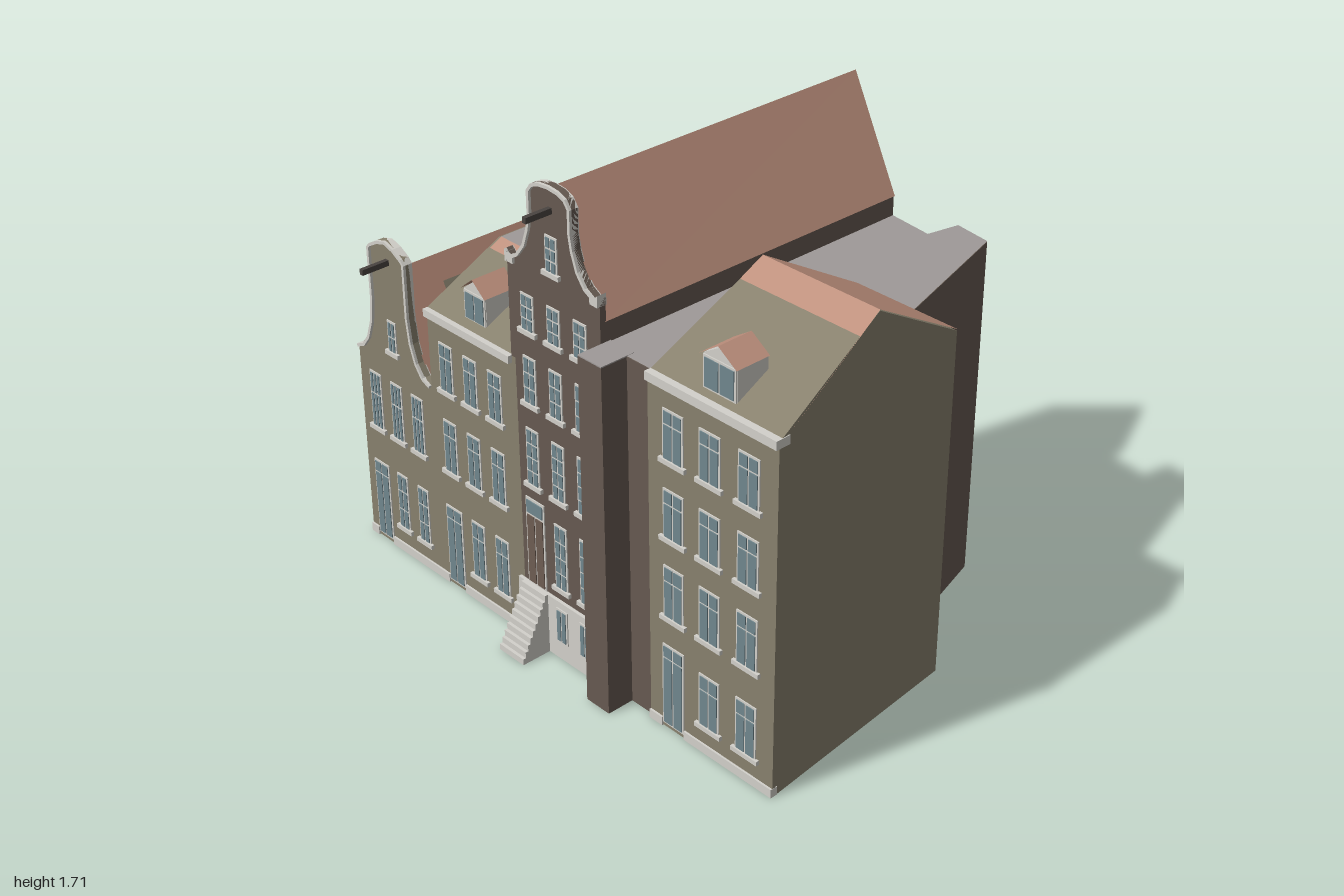
import * as THREE from 'three';
import { ConvexGeometry } from 'three/addons/geometries/ConvexGeometry.js';

const V = (p) => new THREE.Vector3(...p);
const FRONT = 0.62;

export function createModel() {
  const root = new THREE.Group();
  root.name = 'canalHouses';
  const mat = (name, color, double) => {
    const m = new THREE.MeshStandardMaterial({ color });
    m.name = name;
    if (double) m.side = THREE.DoubleSide;
    return m;
  };
  const olive = mat('oliveBrick', 0x88816e);
  const dark = mat('darkBrick', 0x665a51);
  const tile = mat('roofTile', 0xbf917e, true);
  const grey = mat('flatRoofGrey', 0x9f9a98, true);
  const trim = mat('paleTrim', 0xd3d1cb);
  const glass = mat('windowGlass', 0x70878e);
  const wood = mat('doorWood', 0x6e5d52);
  const iron = mat('beamDark', 0x4a4441);

  const add = (geo, m, name, parent = root) => {
    const mesh = new THREE.Mesh(geo, m);
    mesh.name = name;
    parent.add(mesh);
    return mesh;
  };
  const box = (x0, x1, y0, y1, z0, z1, m, name, parent) => {
    const g = new THREE.BoxGeometry(x1 - x0, y1 - y0, z1 - z0);
    g.translate((x0 + x1) / 2, (y0 + y1) / 2, (z0 + z1) / 2);
    return add(g, m, name, parent);
  };
  const hull = (pts, m, name, parent) => add(new ConvexGeometry(pts.map(V)), m, name, parent);
  // Flat panel through four corners, in order
  const panel = (pts, m, name, parent) => {
    const g = new THREE.BufferGeometry();
    g.setAttribute('position', new THREE.Float32BufferAttribute(pts.flat(), 3));
    g.setIndex([0, 1, 2, 0, 2, 3]);
    const flat = g.toNonIndexed();
    flat.computeVertexNormals();
    return add(flat, m, name, parent);
  };
  const shapeOf = (pts) => new THREE.Shape(pts.map(([x, y]) => new THREE.Vector2(x, y)));
  const extrude = (pts, z0, z1, m, name, parent) => {
    const g = new THREE.ExtrudeGeometry(shapeOf(pts), { depth: z1 - z0, bevelEnabled: false });
    g.translate(0, 0, z0);
    return add(g, m, name, parent);
  };

  // Window or door: pale frame with a grid of panes (cols, row height fractions from the bottom)
  const opening = (x, y0, y1, w, cols, rows, o = {}) => {
    const g = new THREE.Group();
    g.name = o.name || 'window';
    const s = o.back ? -1 : 1, b = o.border ?? 0.007;
    const plate = (xa, xb, ya, yb, d0, d1, m, n) =>
      box(xa, xb, ya, yb, Math.min(s * d0, s * d1), Math.max(s * d0, s * d1), m, n, g);
    plate(x - w / 2, x + w / 2, y0, y1, -0.004, 0.004, trim, 'frame');
    if (o.sill !== false) plate(x - w / 2 - 0.012, x + w / 2 + 0.012, y0 - 0.01, y0 + 0.006, -0.004, 0.012, trim, 'sill');
    const pw = (w - b) / cols;
    let y = y0 + b;
    rows.forEach((f, r) => {
      const h = f * (y1 - y0 - b);
      for (let c = 0; c < cols; c++) {
        const xa = x - w / 2 + b + c * pw;
        plate(xa, xa + pw - b, y, y + h - b, 0.003, 0.007, o.wood && r === 0 ? wood : glass, 'pane');
      }
      y += h;
    });
    g.position.z = o.z ?? FRONT;
    g.rotation.y = o.turn || 0;
    root.add(g);
  };
  const transom = [0.72, 0.28];

  // Gable front: mirrored half profile, with a pale coping ribbon along its edge
  const gableFront = (cx, half, m, name) => {
    const right = half.map(([x, y]) => [cx + x, y]);
    const left = half.slice(0, -1).reverse().map(([x, y]) => [cx - x, y]);
    const edge = [...right, ...left], w = half[0][0];
    extrude([[cx - w, 0], [cx + w, 0], ...edge], 0.597, FRONT, m, name);
    const inner = edge.map(([x, y], i) => {
      const a = edge[Math.max(i - 1, 0)], b = edge[Math.min(i + 1, edge.length - 1)];
      const dx = b[0] - a[0], dy = b[1] - a[1], l = Math.hypot(dx, dy);
      return [x - dy / l * 0.011, y + dx / l * 0.011];
    });
    extrude([...edge, ...inner.reverse()], 0.594, 0.63, trim, name + 'Coping');
  };
  const hoist = (x, y, z1) => box(x - 0.008, x + 0.008, y - 0.01, y + 0.01, 0.58, z1, iron, 'hoistBeam');

  // Dormer with pitched roof
  const dormer = (x, w, y0, y1, top) => {
    const g = new THREE.Group();
    g.name = 'dormer';
    root.add(g);
    const h = w / 2 - 0.006, z0 = 0.46, z1 = 0.582, e = 0.592;
    hull([z0, z1].flatMap((z) => [[x - h, y0, z], [x + h, y0, z], [x - h, y1, z], [x + h, y1, z], [x, top - 0.008, z]]),
      trim, 'dormerBody', g);
    for (const s of [-1, 1])
      panel([[x + s * w / 2, y1, z0], [x + s * w / 2, y1, e], [x, top, e], [x, top, z0]], tile, 'dormerRoof', g);
    opening(x, y0 + 0.004, y1 - 0.002, w - 0.016, 2, [1], { z: z1, sill: false });
  };

  // House A: curved neck gable and long pitched roof
  const aR = 1.1, aE = 0.68;
  hull([[-0.997, 0, 0.6], [-0.6, 0, 0.6], [-0.985, 0, -0.3], [-0.58, 0, -0.29],
    [-0.997, aE, 0.6], [-0.6, aE, 0.6], [-0.985, aE, -0.3], [-0.58, aE, -0.29],
    [-0.8, aR, 0.6], [-0.79, aR, -0.295]], olive, 'neckGableHouseWalls');
  panel([[-0.998, aE, 0.6], [-0.8, aR + 0.004, 0.6], [-0.79, aR + 0.004, -0.298], [-0.988, aE, -0.303]], tile, 'neckGableHouseRoof');
  panel([[-0.598, aE, 0.6], [-0.8, aR + 0.004, 0.6], [-0.79, aR + 0.004, -0.298], [-0.578, aE, -0.293]], tile, 'neckGableHouseRoof');
  gableFront(-0.8, [[0.2, 0], [0.2, 0.76], [0.165, 0.775], [0.135, 0.815], [0.112, 0.88], [0.1, 0.97],
    [0.1, 1.165], [0.085, 1.182], [0.045, 1.205], [0, 1.218]].slice(1), olive, 'neckGable');
  hoist(-0.8, 1.14, 0.725);
  opening(-0.917, 0.015, 0.32, 0.082, 2, [0.85, 0.15], { name: 'door', sill: false });
  for (const x of [-0.8, -0.685]) opening(x, 0.1, 0.32, 0.058, 2, [0.35, 0.35, 0.3]);
  for (const x of [-0.915, -0.8, -0.685]) opening(x, 0.46, 0.68, 0.062, 3, [0.62, 0.38]);
  opening(-0.8, 0.8, 0.92, 0.045, 2, [0.5, 0.5]);
  for (const [y0, y1] of [[0.08, 0.23], [0.48, 0.64]])
    opening(-0.68, y0, y1, 0.095, 1, [1], { back: true, z: -0.292, sill: false, name: 'backWindow' });

  // House B: low house with hipped-off flat top and rear wing
  hull([-0.6, -0.15].flatMap((x) => [[x, 0, FRONT], [x, 1.05, FRONT], [x, 1.05, 0.57], [x, 1.2, 0.31], [x, 1.2, -0.11], [x, 0, -0.11]]),
    olive, 'lowHouseWalls');
  hull([-0.58, -0.4].flatMap((x) => [[x, 0, 0], [x, 1.2, 0], [x, 1.2, -0.02], [x, 1.05, -0.285], [x, 0, -0.285]]),
    olive, 'rearWingWalls');
  panel([[-0.6, 1.053, 0.575], [-0.165, 1.053, 0.575], [-0.165, 1.204, 0.31], [-0.59, 1.204, 0.31]], tile, 'lowHouseRoof');
  panel([[-0.585, 1.204, -0.02], [-0.4, 1.204, -0.02], [-0.4, 1.053, -0.288], [-0.58, 1.053, -0.288]], tile, 'rearWingRoof');
  panel([[-0.59, 1.204, 0.31], [-0.15, 1.204, 0.31], [-0.15, 1.204, -0.02], [-0.59, 1.204, -0.02]], grey, 'flatRoof');
  panel([[-0.4, 1.204, -0.02], [-0.15, 1.204, -0.02], [-0.15, 1.204, -0.113], [-0.4, 1.204, -0.113]], grey, 'flatRoof');
  box(-0.6, -0.168, 1.025, 1.052, 0.575, 0.636, trim, 'cornice');
  dormer(-0.39, 0.12, 1.06, 1.17, 1.22);
  opening(-0.513, 0.015, 0.32, 0.085, 2, [0.85, 0.15], { name: 'door', sill: false });
  for (const x of [-0.51, -0.385, -0.26])
    for (const [y0, y1] of [[0.1, 0.32], [0.46, 0.66], [0.77, 0.95]])
      if (x > -0.5 || y0 > 0.2) opening(x, y0, y1, 0.068, 2, transom);
  for (const y of [0.26, 0.56, 0.95])
    opening(-0.25, y - 0.08, y + 0.08, 0.1, 1, [1], { back: true, z: -0.11, sill: false, name: 'backWindow' });

  // House C: tall dark house with bell gable
  const cR = 1.7, cE = 1.33;
  hull([[-0.165, 0, 0.6], [0.255, 0, 0.6], [-0.13, 0, -0.7], [0.26, 0, -0.65],
    [-0.165, cE, 0.6], [0.255, cE, 0.6], [-0.13, cE, -0.7], [0.26, cE, -0.65],
    [0.043, cR - 0.004, 0.6], [0.045, cR - 0.004, -0.677]], dark, 'bellGableHouseWalls');
  panel([[-0.167, cE, 0.6], [0.043, cR, 0.6], [0.045, cR, -0.68], [-0.132, cE, -0.703]], tile, 'bellGableHouseRoof');
  panel([[0.257, cE, 0.6], [0.043, cR, 0.6], [0.045, cR, -0.68], [0.262, cE, -0.653]], tile, 'bellGableHouseRoof');
  gableFront(0.043, [[0.213, 1.385], [0.213, 1.425], [0.195, 1.408], [0.16, 1.428], [0.128, 1.47], [0.107, 1.53],
    [0.098, 1.58], [0.098, 1.66], [0.078, 1.688], [0.042, 1.702], [0, 1.706]], dark, 'bellGable');
  for (const s of [-1, 1])
    box(0.043 + s * 0.195 - 0.018, 0.043 + s * 0.195 + 0.018, 1.385, 1.405, 0.6, 0.629, trim, 'gableShoulder');
  hoist(0.043, 1.625, 0.72);
  box(-0.168, 0.255, 0, 0.225, 0.6, 0.632, trim, 'basementFront');
  for (const x of [0.05, 0.165]) opening(x, 0.07, 0.2, 0.055, 2, [1], { z: 0.632, sill: false, name: 'basementWindow' });
  for (let i = 0; i < 10; i++)
    box(-0.14, -0.02, i * 0.0225, (i + 1) * 0.0225, 0.62, 0.745 - i * 0.0112, trim, 'step');
  opening(-0.08, 0.225, 0.555, 0.09, 2, [0.82], { name: 'door', wood: true, sill: false });
  box(-0.118, -0.042, 0.5, 0.546, 0.62, 0.628, glass, 'doorTransom');
  const third = [0.34, 0.33, 0.33];
  for (const x of [-0.08, 0.043, 0.165])
    for (const [y0, y1] of [[0.27, 0.515], [0.61, 0.82], [0.91, 1.08], [1.17, 1.3]])
      if (x > 0 || y0 > 0.3) opening(x, y0, y1, 0.06, 2, y0 < 0.8 ? [0.25, 0.25, 0.25, 0.25] : third);
  opening(0.043, 1.415, 1.54, 0.055, 2, third);
  // Rear windows, the second column set at half landings
  const rear = [[-0.05, [0.14, 0.55, 0.93, 1.25]], [0.19, [0.1, 0.33, 0.69, 1.06]]];
  for (const [x, ys] of rear)
    for (const y of ys) {
      const h = y < 0.2 ? 0.055 : 0.08;
      opening(x, y - h, y + h, 0.095, 1, [1],
        { back: true, z: -0.6833, turn: -Math.atan(0.05 / 0.39), sill: false, name: 'backWindow' });
      const g = root.children[root.children.length - 1];
      g.position.x = x - x * Math.cos(g.rotation.y);
      g.position.z = -0.6833 + 0.1282 * x + x * Math.sin(g.rotation.y) - 0.1282 * x;
      g.position.z = -0.6833 + 0.1282 * x - (-x * Math.sin(g.rotation.y));
    }

  // Dark infill block with flat roof
  const plan = [[0.26, 0.61], [0.47, 0.61], [0.52, 0.5], [0.745, -0.21], [0.595, -0.73], [0.455, -0.75], [0.43, -0.63], [0.26, -0.65]]
    .map(([x, z]) => [x, -z]);
  const walls = extrude(plan, 0, 1.258, dark, 'infillWalls');
  walls.geometry.rotateX(-Math.PI / 2);
  const lid = add(new THREE.ShapeGeometry(shapeOf(plan)), grey, 'infillFlatRoof');
  lid.geometry.rotateX(-Math.PI / 2).translate(0, 1.261, 0);
  box(0.256, 0.36, 0, 1.258, 0.58, 0.71, dark, 'infillPier');
  box(0.256, 0.36, 1.258, 1.262, 0.58, 0.71, grey, 'pierTop');

  // House E: tapering house with cross ridge
  hull([[0.46, 0, FRONT], [1, 0, FRONT], [0.51, 0, -0.21], [0.92, 0, -0.21],
    [0.46, 1.255, FRONT], [1, 1.255, FRONT], [0.464, 1.26, 0.575], [0.994, 1.26, 0.575],
    [0.51, 1.26, -0.21], [0.92, 1.26, -0.21], [0.488, 1.486, 0.18], [0.956, 1.486, 0.18]], olive, 'crossRidgeHouseWalls');
  panel([[0.462, 1.263, 0.578], [0.996, 1.263, 0.578], [0.957, 1.49, 0.18], [0.487, 1.49, 0.18]], tile, 'crossRidgeRoof');
  panel([[0.51, 1.263, -0.214], [0.92, 1.263, -0.214], [0.957, 1.49, 0.18], [0.487, 1.49, 0.18]], tile, 'crossRidgeRoof');
  box(0.46, 1, 1.232, 1.262, 0.578, 0.632, trim, 'cornice');
  dormer(0.725, 0.15, 1.27, 1.385, 1.435);
  opening(0.567, 0.015, 0.32, 0.095, 2, [0.85, 0.15], { name: 'door', sill: false });
  for (const x of [0.57, 0.725, 0.885])
    for (const [y0, y1] of [[0.1, 0.295], [0.425, 0.615], [0.715, 0.89], [0.99, 1.165]])
      if (x > 0.6 || y0 > 0.2) opening(x, y0, y1, 0.088, 2, transom);

  // Plinths, interrupted by the doors
  for (const [a, b] of [[-1, -0.96], [-0.874, -0.557], [-0.469, -0.168], [0.46, 0.518], [0.616, 1]])
    box(a, b, 0, 0.032, 0.6, 0.627, trim, 'plinth');
  return root;
}
